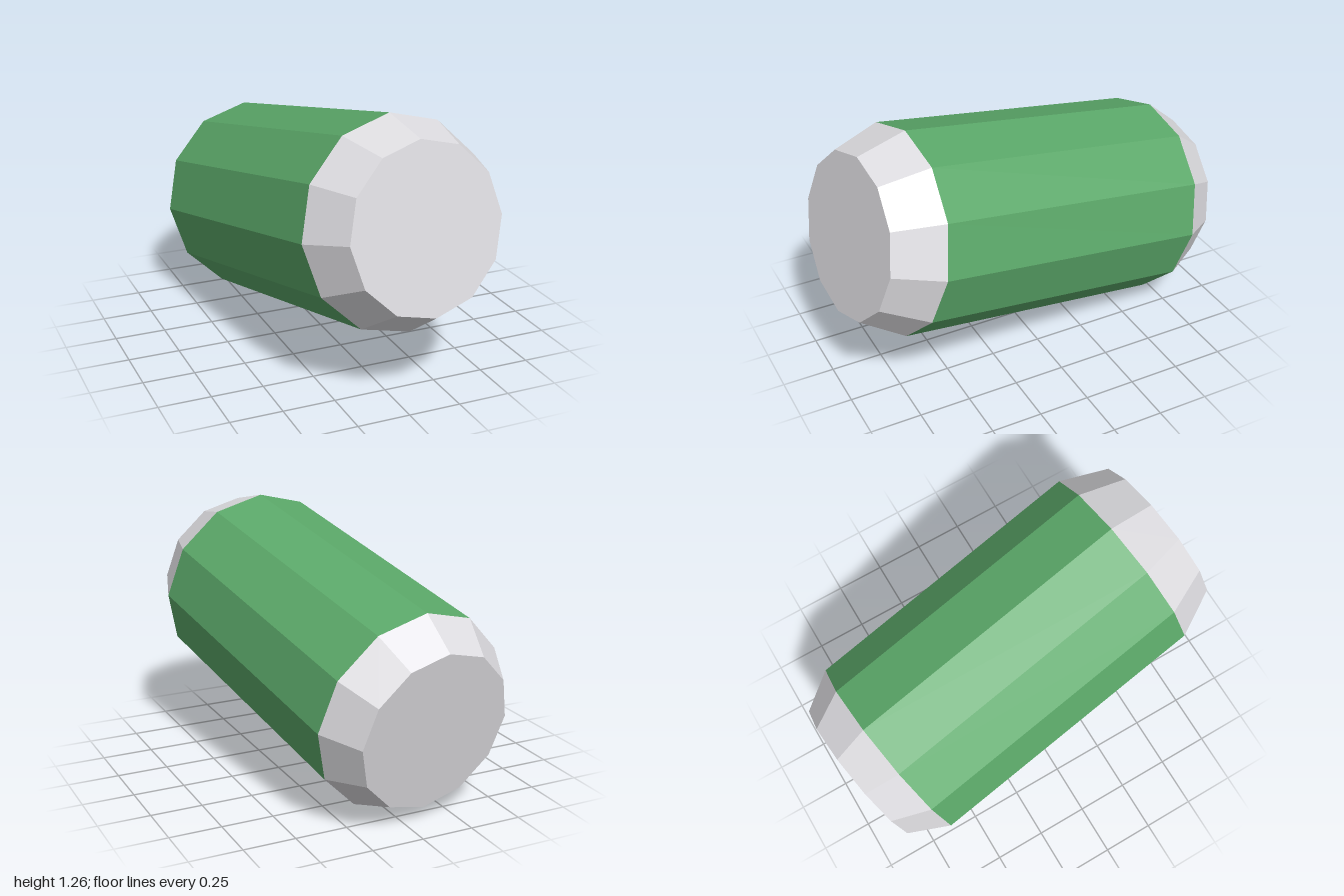
import * as THREE from 'three';

export function createModel() {
  const green = new THREE.MeshStandardMaterial({ color: 0x5ba869, flatShading: true });
  green.name = 'green label';
  const metal = new THREE.MeshStandardMaterial({ color: 0xdddce0, flatShading: true });
  metal.name = 'pale metal';

  const SIDES = 12, R = 0.497, HALF = 0.725;
  const group = new THREE.Group();
  group.name = 'can';

  // Tilted can: built along local z, then turned onto its axis
  const can = new THREE.Group();
  can.name = 'tiltedCan';
  can.lookAt(0.1725, 0.29, 1.41);
  can.position.set(0.0025, 0.6325, -0.021);
  group.add(can);

  // Twelve-sided section between two z positions, open at both ends
  function section(name, z0, r0, z1, r1, material) {
    const geo = new THREE.CylinderGeometry(r1, r0, z1 - z0, SIDES, 1, true);
    geo.rotateX(Math.PI / 2);
    const mesh = new THREE.Mesh(geo, material);
    mesh.name = name;
    mesh.position.z = (z0 + z1) / 2;
    can.add(mesh);
  }

  // Flat lid, facing out along dir
  function lid(name, z, r, dir) {
    const geo = new THREE.CircleGeometry(r, SIDES, Math.PI / 2);
    if (dir < 0) geo.rotateY(Math.PI);
    const mesh = new THREE.Mesh(geo, metal);
    mesh.name = name;
    mesh.position.z = z;
    can.add(mesh);
  }

  section('body', -HALF, R, HALF, R, green);
  section('frontShoulder', HALF, R, HALF + 0.228, 0.393, metal);
  section('backShoulder', -HALF - 0.19, 0.392, -HALF, R, metal);
  lid('frontLid', HALF + 0.228, 0.393, 1);
  lid('backLid', -HALF - 0.19, 0.392, -1);

  return group;
}
